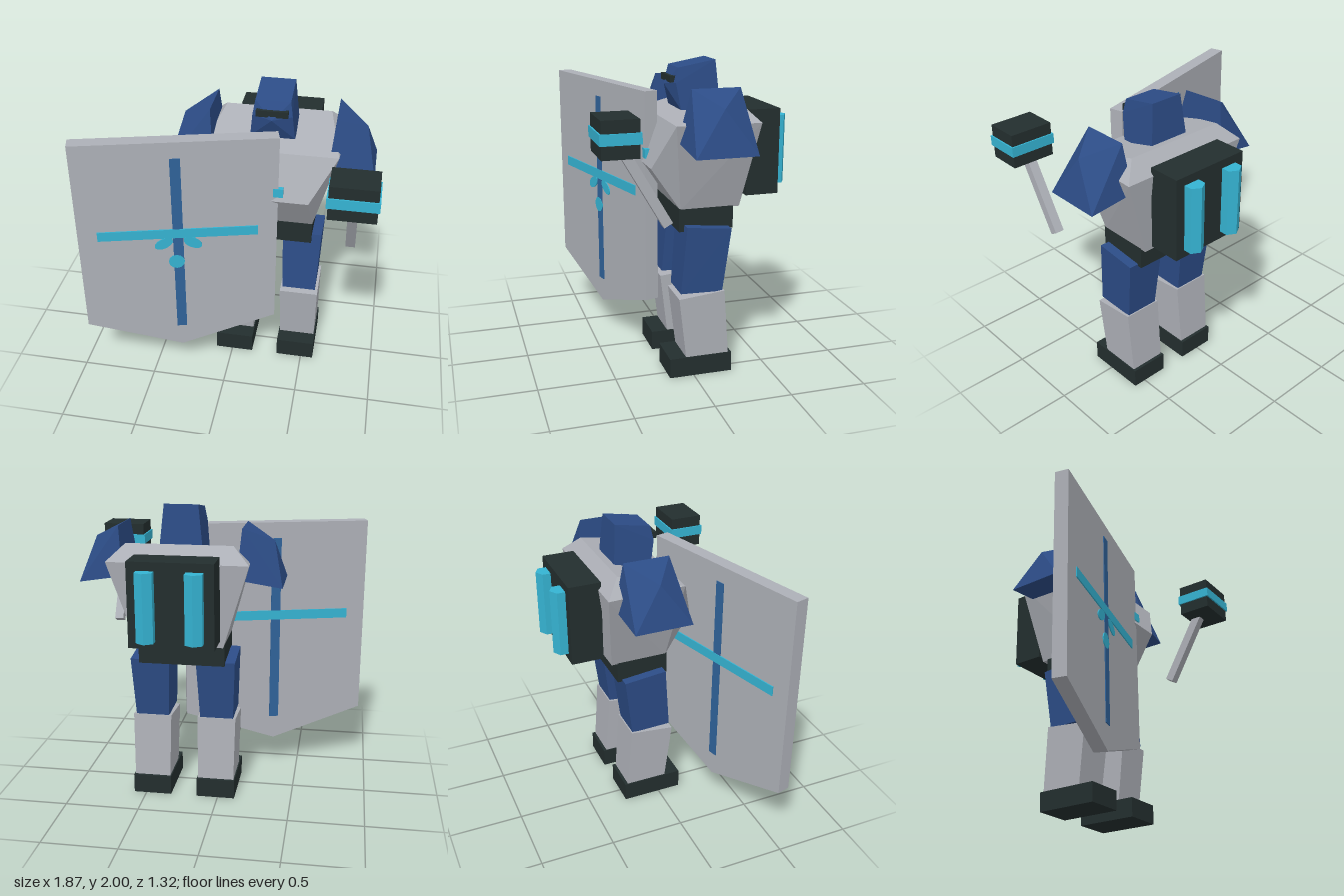
import * as THREE from 'three';
import { ConvexGeometry } from 'three/addons/geometries/ConvexGeometry.js';

const mat = (name, color) => {
  const m = new THREE.MeshStandardMaterial({ color });
  m.name = name;
  return m;
};

export function createModel() {
  const grey = mat('plate grey', 0xadb0b7);
  const blue = mat('armour blue', 0x2c4c86);
  const stripeBlue = mat('stripe blue', 0x2f6299);
  const cyan = mat('glow cyan', 0x35b3d2);
  const dark = mat('dark metal', 0x232e2e);

  const model = new THREE.Group();
  const body = new THREE.Group();
  body.name = 'body';
  body.position.x = 0.235;
  model.add(body);

  const add = (parent, name, geo, material, x = 0, y = 0, z = 0) => {
    const m = new THREE.Mesh(geo, material);
    m.name = name;
    m.position.set(x, y, z);
    parent.add(m);
    return m;
  };
  const box = (parent, name, material, w, h, d, x, y, z) =>
    add(parent, name, new THREE.BoxGeometry(w, h, d), material, x, y, z);
  // Faceted solid around a few corner points
  const hull = (pts) => new ConvexGeometry(pts.map((p) => new THREE.Vector3(...p)));
  const bothSides = (pts) => pts.flatMap(([x, y, z]) => (x ? [[x, y, z], [-x, y, z]] : [[x, y, z]]));

  // Chest
  add(body, 'chest', hull(bothSides([
    [0.345, 1.76, -0.28], [0.43, 1.655, 0.145], [0.455, 1.655, -0.38],
    [0.265, 1.37, 0.257], [0.283, 1.1, 0.075], [0.283, 1.1, -0.31],
  ])), grey);
  box(body, 'chestLight', cyan, 0.21, 0.06, 0.05, 0, 1.43, 0.228);
  box(body, 'waist', dark, 0.57, 0.15, 0.355, 0, 1.035, -0.0925);

  // Head
  add(body, 'helmet', hull(bothSides([
    [0.11, 2.0, -0.2], [0.11, 1.957, 0.04], [0.125, 1.865, 0.058],
    [0.142, 1.7, 0.03], [0.142, 1.7, -0.225], [0, 1.85, 0.1],
  ])), blue);
  box(body, 'visor', dark, 0.2, 0.042, 0.06, 0, 1.886, 0.058);

  // Legs and shoulder plates, mirrored
  for (const s of [1, -1]) {
    const side = s > 0 ? 'left' : 'right';
    const leg = new THREE.Group();
    leg.name = side + 'Leg';
    leg.position.x = s * 0.22;
    body.add(leg);
    add(leg, 'thigh', hull(bothSides([
      [0.13, 1.005, 0.05], [0.13, 0.975, -0.24], [0.112, 0.565, 0.085], [0.112, 0.558, -0.19],
    ])), blue);
    add(leg, 'shin', hull(bothSides([
      [0.13, 0.535, 0.1], [0.13, 0.565, -0.2], [0.122, 0.12, 0.05], [0.122, 0.12, -0.235],
    ])), grey);
    box(leg, 'foot', dark, 0.26, 0.13, 0.415, 0, 0.065, -0.0475);

    add(body, side + 'ShoulderPlate', hull([
      [0.395, 1.865, -0.26], [0.395, 1.865, 0.045],
      [0.365, 1.55, -0.31], [0.365, 1.55, 0.12],
      [0.655, 1.5, -0.287], [0.655, 1.5, 0.097],
      [0.585, 1.77, -0.095],
    ].map(([x, y, z]) => [s * x, y, z])), blue);
  }

  // Backpack with two glowing cells
  box(body, 'backpack', dark, 0.54, 0.545, 0.215, 0, 1.4325, -0.4675);
  for (const s of [1, -1]) {
    const cell = new THREE.CylinderGeometry(0.063, 0.063, 0.44, 6).toNonIndexed();
    cell.computeVertexNormals();
    add(body, 'powerCell', cell, cyan, s * 0.152, 1.43, -0.598);
  }

  // Hammer
  const hammer = new THREE.Group();
  hammer.name = 'hammer';
  model.add(hammer);
  box(hammer, 'hammerHead', dark, 0.285, 0.22, 0.22, 0.782, 1.65, 0.54);
  box(hammer, 'hammerBand', cyan, 0.305, 0.065, 0.24, 0.782, 1.653, 0.54);
  box(hammer, 'hammerHandle', grey, 0.06, 0.62, 0.06, 0.782, 1.373, 0.392).rotation.x = Math.PI / 6;

  // Tall shield, pointed at the bottom
  const shield = new THREE.Group();
  shield.name = 'shield';
  shield.position.set(-0.315, 0, 0.365);
  shield.rotation.y = Math.PI / 12;
  model.add(shield);
  const outline = new THREE.Shape([[-0.634, 1.815], [-0.634, 0.44], [0, 0.222], [0.634, 0.44], [0.634, 1.815]]
    .map(([x, y]) => new THREE.Vector2(x, y)));
  const plate = new THREE.ExtrudeGeometry(outline, { depth: 0.09, bevelEnabled: false });
  plate.translate(0, 0, -0.045);
  add(shield, 'shieldPlate', plate, grey);
  box(shield, 'uprightStripe', stripeBlue, 0.066, 1.315, 0.1, 0, 1.0475, 0);
  box(shield, 'crossStripe', cyan, 1.02, 0.066, 0.106, 0, 1.16, 0);

  // Painted spots under the cross
  for (const [x, y, rx, ry, turn] of [
    [-0.093, 1.085, 0.065, 0.036, 0.5], [0.093, 1.085, 0.065, 0.036, -0.5], [-0.015, 0.94, 0.052, 0.052, 0],
  ]) {
    const spot = new THREE.CylinderGeometry(1, 1, 0.008, 12).rotateX(Math.PI / 2);
    spot.scale(rx, ry, 1);
    add(shield, 'paintedSpot', spot.rotateZ(turn), cyan, x, y, 0.048);
  }
  return model;
}
